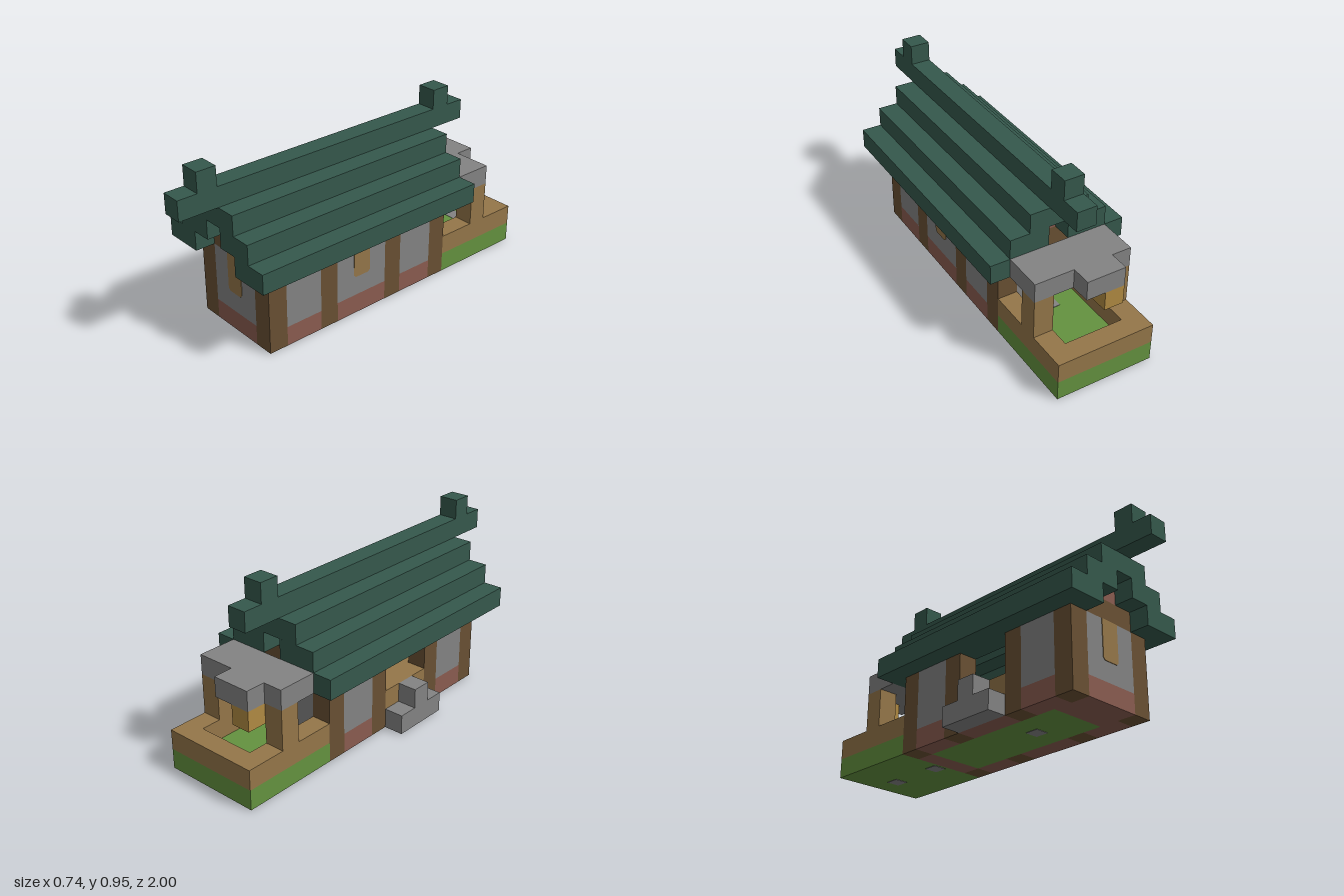
import * as THREE from 'three';

const U = 2 / 19; // one block

const mat = (name, color) => {
  const m = new THREE.MeshStandardMaterial({ color });
  m.name = name;
  return m;
};

export function createModel() {
  const group = new THREE.Group();
  const tile = mat('dark green tile', 0x35584c);
  const timber = mat('dark timber', 0x695033);
  const stone = mat('grey stone', 0x838383);
  const brick = mat('red brick', 0x8a5c50);
  const wood = mat('light wood', 0x947649);
  const grass = mat('grass', 0x64923f);
  const lamp = mat('lantern gold', 0xb08a42);

  // Box over inclusive block ranges: x is centred on 0, z counts from the back
  const block = (name, m, [x0, x1], [y0, y1], [z0, z1]) => {
    const geo = new THREE.BoxGeometry((x1 - x0 + 1) * U, (y1 - y0 + 1) * U, (z1 - z0 + 1) * U);
    const mesh = new THREE.Mesh(geo, m);
    mesh.name = name;
    mesh.position.set((x0 + x1) / 2 * U, (y0 + y1 + 1) / 2 * U, -1 + (z0 + z1 + 1) / 2 * U);
    group.add(mesh);
    return mesh;
  };

  // Stepped roof, two blocks wide per tier, open underneath
  for (const s of [-1, 1]) {
    const side = (a, b) => (s > 0 ? [a, b] : [-b, -a]);
    block('roofEave', tile, side(2, 3), [4, 4], [4, 16]);
    block('roofMiddle', tile, side(1, 2), [5, 5], [4, 16]);
  }
  block('roofUpper', tile, [-1, 1], [6, 6], [4, 16]);
  block('ridge', tile, [0, 0], [7, 7], [2, 18]);
  for (const z of [3, 17]) block('ridgeFinial', tile, [0, 0], [8, 8], [z, z]);

  // Corner and side posts
  for (const x of [-2, 2])
    for (const z of [5, 8, 12, 15]) block('post', timber, [x, x], [0, 3], [z, z]);

  // Long walls; the middle bay on the -x side is an open doorway
  for (const x of [-2, 2])
    for (const bay of [[6, 7], [9, 11], [13, 14]]) {
      block('wallBase', brick, [x, x], [0, 0], bay);
      if (x < 0 && bay[0] === 9) block('threshold', wood, [x, x], [1, 1], bay);
      else block('wall', stone, [x, x], [1, 3], bay);
    }

  // End walls and gables
  for (const z of [5, 15]) {
    block('endWallBase', brick, [-1, 1], [0, 0], [z, z]);
    block('endWall', stone, [-1, 1], [1, 3], [z, z]);
    block('gableBeam', timber, [-1, 1], [4, 4], [z, z]);
    block('gableTop', brick, [0, 0], [5, 5], [z, z]);
  }

  // Floor inside the house
  block('innerGround', grass, [-1, 1], [0, 0], [6, 13]);
  block('innerSill', brick, [-1, 1], [0, 0], [14, 14]);
  block('innerFloor', wood, [-1, 1], [1, 1], [6, 14]);

  // Window panels with clipped lower corners
  const pane = new THREE.Shape();
  const w = U / 2, c = 0.012;
  [[-w, c], [c - w, 0], [w - c, 0], [w, c], [w, 2 * U], [-w, 2 * U]].forEach(([x, y], i) =>
    i ? pane.lineTo(x, y) : pane.moveTo(x, y));
  const paneGeo = new THREE.ExtrudeGeometry(pane, { depth: 0.003, bevelEnabled: false });
  const windowPanel = (x, z, turn) => {
    const mesh = new THREE.Mesh(paneGeo, wood);
    mesh.name = 'windowPanel';
    mesh.position.set(x, 2 * U, z);
    mesh.rotation.y = turn;
    group.add(mesh);
  };
  windowPanel(0, -1 + 16 * U, 0);
  windowPanel(2.5 * U, -1 + 10.5 * U, Math.PI / 2);

  // Steps at the side doorway
  block('lowerStep', stone, [-3, -3], [0, 0], [9, 11]);
  block('upperStep', stone, [-3, -3], [1, 1], [10, 10]);

  // Back garden with a low wooden border
  block('gardenGround', grass, [-2, 2], [0, 0], [0, 4]);
  block('borderBack', wood, [-2, 2], [1, 1], [0, 0]);
  for (const x of [-2, 2]) {
    block('borderSide', wood, [x, x], [1, 1], [1, 4]);
    block('canopyPost', wood, [x, x], [2, 3], [2, 2]);
  }

  // Stepping stones, showing above and below the ground
  for (const z of [1, 4, 11]) {
    const s = block('steppingStone', stone, [0, 0], [0, 0], [z, z]);
    s.scale.set(0.7, 1.04, 0.7);
  }

  // Canopy slab, its overhang and the hanging lantern
  block('canopy', stone, [-2, 2], [4, 4], [2, 3]);
  block('canopyOverhang', stone, [-1, 0], [4, 4], [1, 1]);
  block('lantern', lamp, [-1, -1], [3, 3], [1, 1]);

  return group;
}
